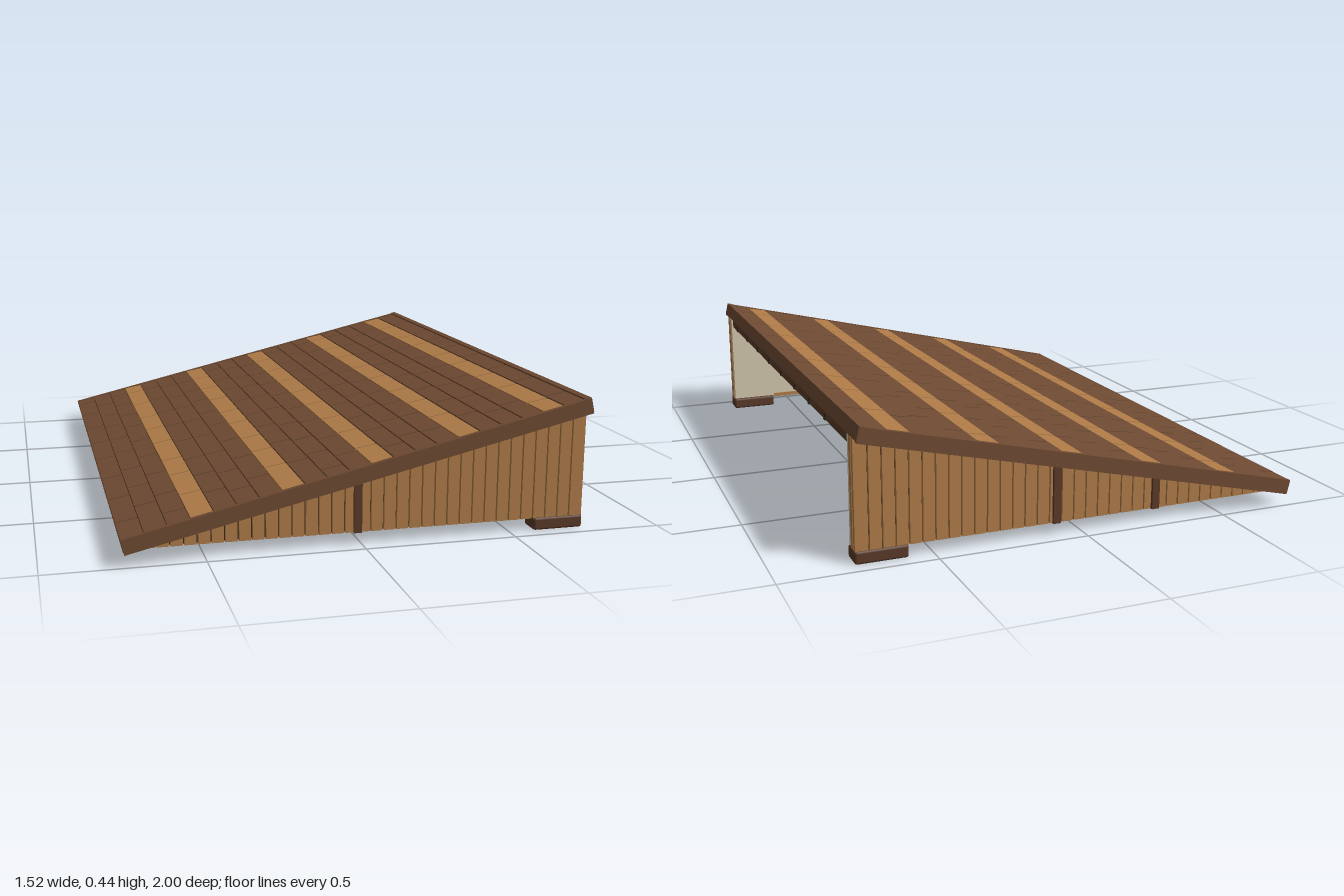
import * as THREE from 'three';
import { mergeGeometries } from 'three/addons/utils/BufferGeometryUtils.js';
import { RoundedBoxGeometry } from 'three/addons/geometries/RoundedBoxGeometry.js';

const paint = (color) => new THREE.MeshStandardMaterial({ color });
const MAT = {
  tile: paint(0x6f4b32), light: paint(0xb07c48), dark: paint(0x3a261b), beam: paint(0x5a3a28),
  deck: paint(0x5e4e33), plaster: paint(0xd2c8ae), brass: paint(0xc0913a), joint: paint(0x2c1c13),
};
const SLOPE = 0.236, ANGLE = Math.atan(SLOPE), CREST = 0.267, FLOOR = 0.04;
const underside = (x) => CREST - 0.045 + SLOPE * x;

// Box given by its low and high corners
function span(x0, x1, y0, y1, z0, z1) {
  return new THREE.BoxGeometry(x1 - x0, y1 - y0, z1 - z0)
    .translate((x0 + x1) / 2, (y0 + y1) / 2, (z0 + z1) / 2);
}

// Upright board cut along the roof slope
function slopedBoard(x0, x1, z0, z1, y0 = FLOOR) {
  const s = new THREE.Shape([
    new THREE.Vector2(x0, y0), new THREE.Vector2(x1, y0),
    new THREE.Vector2(x1, underside(x1)), new THREE.Vector2(x0, underside(x0)),
  ]);
  return new THREE.ExtrudeGeometry(s, { depth: z1 - z0, bevelEnabled: false }).translate(0, 0, z0);
}

function add(parent, name, geometry, material) {
  const m = new THREE.Mesh(Array.isArray(geometry) ? mergeGeometries(geometry) : geometry, material);
  m.name = name;
  parent.add(m);
  return m;
}

function seeded(seed) {
  return () => ((seed = (seed * 16807) % 2147483647) / 2147483647);
}

// Roof in its own tilted frame: x runs up the slope, y = 0 is the top
function buildRoof() {
  const roof = new THREE.Group();
  roof.name = 'roof';
  roof.position.y = CREST;
  roof.rotation.z = ANGLE;
  const rand = seeded(41), lo = -0.78, hi = 0.76;

  add(roof, 'roofCore', span(lo + 0.008, hi - 0.008, -0.034, -0.011, -0.99, 0.99), MAT.joint);

  // Shingle courses, every fourth one light
  const courses = 21, step = (hi - 0.015 - lo) / courses;
  const brown = [], light = [];
  for (let i = 0; i < courses; i++) {
    const x = lo + i * step;
    let z = -0.985, end = z + 0.08 + 0.17 * rand();
    while (z < 0.985) {
      if (end > 0.93) end = 0.985;
      const g = new THREE.BoxGeometry(step - 0.002, 0.009, end - z - 0.008);
      g.rotateZ(-0.045).translate(x + step / 2, -0.0065, (z + end) / 2);
      (i % 4 === 3 ? light : brown).push(g);
      z = end;
      end = z + 0.19 + 0.07 * rand();
    }
  }
  add(roof, 'brownShingles', brown, MAT.tile);
  add(roof, 'lightShingles', light, MAT.light);

  // Ceiling boards
  const boards = [], n = 22, w = (hi - lo - 0.02) / n;
  for (let i = 0; i < n; i++) {
    const x = lo + 0.01 + i * w;
    boards.push(span(x, x + w - 0.003, -0.045, -0.033, -0.985, 0.985));
  }
  add(roof, 'ceilingBoards', boards, MAT.deck);

  // Rafters with projecting ends
  const rafters = [];
  for (let i = 0; i < 8; i++) {
    const z = -0.69 + i * 0.197;
    rafters.push(span(-0.755, 0.77, -0.064, -0.044, z - 0.009, z + 0.009));
  }
  add(roof, 'rafters', rafters, MAT.dark);

  // Edge trim
  for (const s of [-1, 1]) {
    add(roof, 'bargeboard', span(lo, hi, -0.05, 0, -0.0075, 0.0075).translate(0, 0, s * 0.9925), MAT.tile);
  }
  add(roof, 'highFascia', span(hi - 0.017, hi + 0.002, -0.045, 0.002, -0.998, 0.998), MAT.tile);
  add(roof, 'lowFascia', span(lo - 0.002, lo + 0.012, -0.042, -0.002, -0.998, 0.998), MAT.beam);
  return roof;
}

// Side wall on the +z side; mirrored by turning z coordinates round
function buildWall(side) {
  const wall = new THREE.Group();
  wall.name = side > 0 ? 'frontWall' : 'backWall';
  const zs = (a, b) => (side > 0 ? [a, b] : [-b, -a]);
  const x0 = -0.73, x1 = 0.75, count = 35, w = (x1 - x0) / count;

  // Outer planks over a dark backing
  const planks = [];
  for (let i = 0; i < count; i++) {
    const x = x0 + i * w;
    planks.push(slopedBoard(x, x + w - (i < count - 1 ? 0.005 : 0), ...zs(0.934, 0.95)));
  }
  add(wall, 'planks', planks, MAT.light);
  add(wall, 'backing', slopedBoard(x0, x1 - 0.003, ...zs(0.928, 0.936), FLOOR + 0.002), MAT.dark);
  add(wall, 'frame', slopedBoard(x0, x1, ...zs(0.908, 0.928)), MAT.light);
  add(wall, 'plaster', slopedBoard(-0.72, x1 - 0.002, ...zs(0.888, 0.908), FLOOR + 0.003), MAT.plaster);

  // Inner studs and sill
  const studs = [0.26, -0.03, -0.33].map((x) => slopedBoard(x - 0.01, x + 0.01, ...zs(0.879, 0.889)));
  add(wall, 'innerStuds', studs, MAT.dark);
  add(wall, 'sill', span(-0.69, 0.58, FLOOR - 0.002, FLOOR + 0.012, ...zs(0.882, 0.93)), MAT.light);

  // Outer posts
  const posts = (side > 0 ? [-0.015] : [0.09, -0.265])
    .map((x) => slopedBoard(x - 0.013, x + 0.013, ...zs(0.945, 0.96)));
  add(wall, 'outerPosts', posts, MAT.beam);

  // Foot block under the tall end
  const foot = add(wall, 'footBlock', new RoundedBoxGeometry(0.17, 0.042, 0.075, 2, 0.008), MAT.beam);
  foot.position.set(0.667, 0.021, side * 0.918);
  return wall;
}

// Small lantern hanging from a rafter
function buildLantern(x, y, z) {
  const lantern = new THREE.Group();
  lantern.name = 'lantern';
  const top = underside(x) - 0.01 - y;
  const profile = [[0, -0.022], [0.008, -0.021], [0.015, -0.008], [0.016, 0.004], [0.011, 0.015], [0.006, 0.022], [0, 0.023]]
    .map(([r, h]) => new THREE.Vector2(r, h));
  add(lantern, 'lanternBody', new THREE.LatheGeometry(profile, 12), MAT.brass);
  add(lantern, 'lanternCap', new THREE.CylinderGeometry(0.006, 0.011, 0.008, 12).translate(0, 0.021, 0), MAT.dark);
  add(lantern, 'lanternCord', new THREE.CylinderGeometry(0.002, 0.002, top, 6).translate(0, top / 2, 0), MAT.dark);
  lantern.position.set(x, y, z);
  return lantern;
}

export function createModel() {
  const model = new THREE.Group();
  model.name = 'leanToRoof';
  model.add(buildRoof(), buildWall(1), buildWall(-1));

  // Long beams between the walls
  add(model, 'highBeam', span(0.705, 0.742, 0.36, 0.395, -0.888, 0.888), MAT.beam);
  add(model, 'lowBeam', span(-0.715, -0.67, 0.038, 0.068, -0.888, 0.888), MAT.beam);

  model.add(buildLantern(0.34, 0.15, 0.5), buildLantern(-0.03, 0.065, -0.1));
  return model;
}
